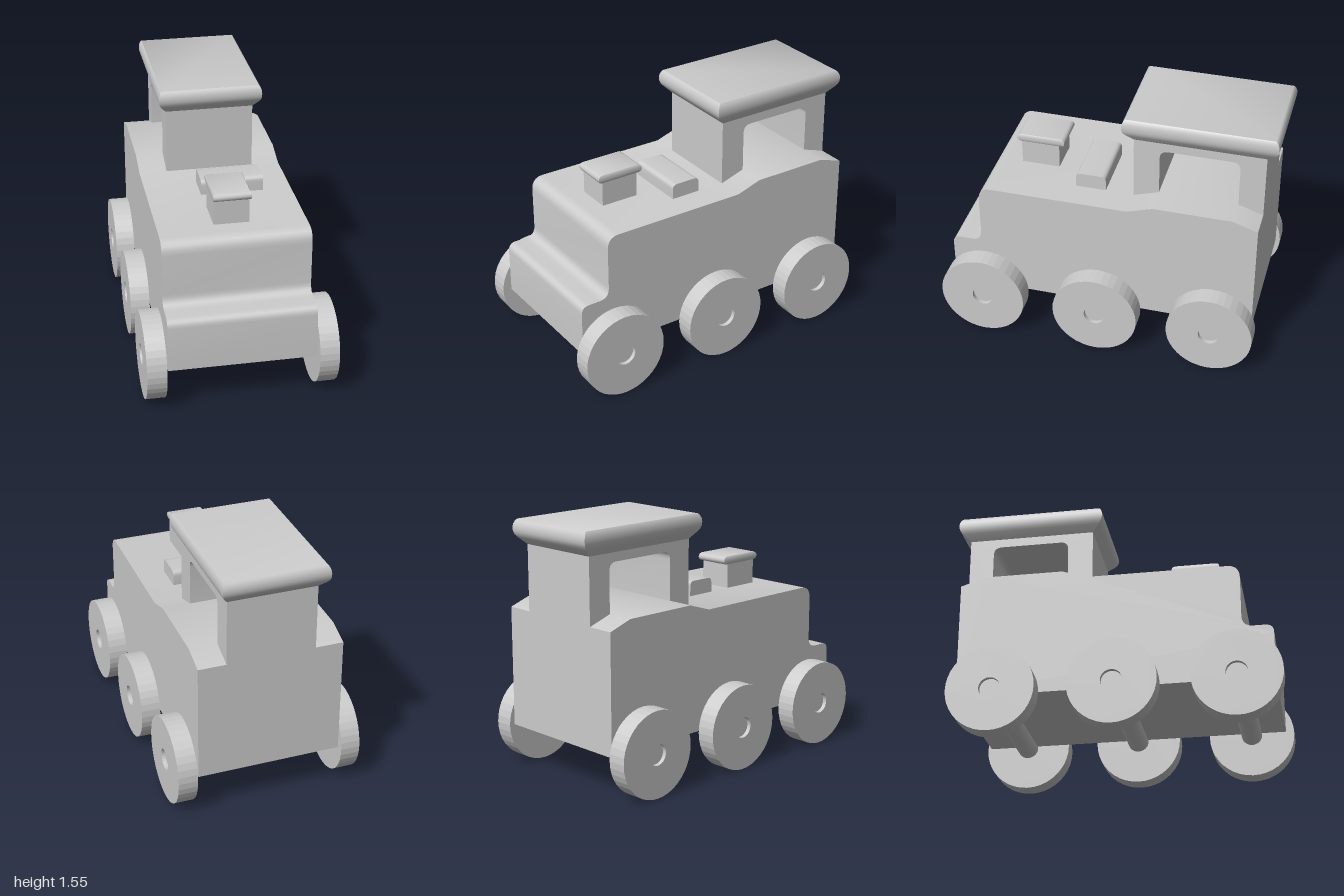
import * as THREE from 'three';
import { toCreasedNormals } from 'three/addons/utils/BufferGeometryUtils.js';

const material = new THREE.MeshStandardMaterial({ color: 0xcccccc });

function part(name, geometry, parent) {
  const mesh = new THREE.Mesh(geometry, material);
  mesh.name = name;
  parent.add(mesh);
  return mesh;
}

// Extrudes a side profile drawn in (z, y) across x from x0 to x1
function sideExtrude(shape, x0, x1, curveSegments = 5) {
  const geometry = new THREE.ExtrudeGeometry(shape, { depth: x1 - x0, bevelEnabled: false, curveSegments });
  geometry.rotateY(-Math.PI / 2).translate(x1, 0, 0);
  return toCreasedNormals(geometry, 0.4);
}

// Mitred rectangular block: each ring is [y, x0, x1, z0, z1], bottom to top
function rectLoft(rings) {
  const positions = [];
  const corners = rings.map(([y, x0, x1, z0, z1]) => [[x0, y, z1], [x1, y, z1], [x1, y, z0], [x0, y, z0]]);
  const quad = (a, b, c, d) => positions.push(...a, ...b, ...c, ...a, ...c, ...d);
  for (let i = 0; i < corners.length - 1; i++) {
    for (let j = 0; j < 4; j++) {
      const k = (j + 1) % 4;
      quad(corners[i][j], corners[i][k], corners[i + 1][k], corners[i + 1][j]);
    }
  }
  const bottom = corners[0];
  quad(bottom[3], bottom[2], bottom[1], bottom[0]);
  quad(...corners[corners.length - 1]);
  const geometry = new THREE.BufferGeometry();
  geometry.setAttribute('position', new THREE.Float32BufferAttribute(positions, 3));
  return toCreasedNormals(geometry, 0.75);
}

export function createModel() {
  const model = new THREE.Group();
  model.name = 'toyTrain';

  // Body with stepped nose and raised shoulders beside the cab
  const body = new THREE.Shape();
  body.moveTo(-0.93, 0.27);
  body.lineTo(0.95, 0.27);
  body.lineTo(0.95, 0.55);
  body.quadraticCurveTo(0.95, 0.6, 0.9, 0.6);
  body.lineTo(0.83, 0.6);
  body.quadraticCurveTo(0.765, 0.6, 0.765, 0.665);
  body.lineTo(0.765, 0.92);
  body.quadraticCurveTo(0.765, 1.0, 0.69, 1.0);
  body.lineTo(-0.15, 1.0);
  body.lineTo(-0.305, 1.05);
  body.lineTo(-0.78, 1.05);
  body.lineTo(-0.93, 1.0);
  part('body', sideExtrude(body, -0.437, 0.437), model);

  // Cab: front and rear walls joined above an open window
  const cab = new THREE.Shape();
  cab.moveTo(-0.15, 1.0);
  cab.lineTo(-0.15, 1.4);
  cab.lineTo(-0.93, 1.4);
  cab.lineTo(-0.93, 1.0);
  cab.lineTo(-0.78, 1.05);
  cab.lineTo(-0.78, 1.295);
  cab.quadraticCurveTo(-0.78, 1.345, -0.73, 1.345);
  cab.lineTo(-0.355, 1.345);
  cab.quadraticCurveTo(-0.305, 1.345, -0.305, 1.295);
  cab.lineTo(-0.305, 1.05);
  part('cab', sideExtrude(cab, -0.268, 0.268), model);

  // Roof flaring outward with a rounded rim
  const roofProfile = [[1.4, 0], [1.442, 0.65], [1.46, 0.87], [1.48, 0.98], [1.5, 1], [1.52, 0.96], [1.54, 0.82], [1.55, 0.66]];
  part('roof', rectLoft(roofProfile.map(([y, f]) =>
    [y, -0.268 - 0.047 * f, 0.268 + 0.047 * f, -0.93 - 0.07 * f, -0.15 + 0.065 * f])), model);

  // Chimney and its rounded cap
  const stack = new THREE.BoxGeometry(0.211, 0.15, 0.235);
  part('chimney', stack, model).position.set(-0.0025, 1.075, 0.4725);
  const capProfile = [[1.15, 0], [1.156, 0.6], [1.166, 0.93], [1.175, 1], [1.184, 0.93], [1.194, 0.6], [1.2, 0]];
  part('chimneyCap', rectLoft(capProfile.map(([y, f]) =>
    [y, -0.108 - 0.006 * f, 0.104 + 0.006 * f, 0.342 - 0.022 * f, 0.595 + 0.022 * f])), model);

  // Low hump behind the chimney, rounded along its upper edges
  const hump = new THREE.Shape();
  hump.moveTo(0.02, 1.0);
  hump.lineTo(0.205, 1.0);
  hump.lineTo(0.205, 1.06);
  hump.quadraticCurveTo(0.205, 1.092, 0.173, 1.092);
  hump.lineTo(0.052, 1.092);
  hump.quadraticCurveTo(0.02, 1.092, 0.02, 1.06);
  part('hump', sideExtrude(hump, -0.113, 0.265), model);

  // Three axles, each with a pair of faceted wheels
  const disc = new THREE.Shape().absarc(0, 0, 0.2635, 0, Math.PI * 2);
  disc.holes.push(new THREE.Path().absarc(0, 0, 0.064, 0, Math.PI * 2, true));
  const axle = new THREE.CylinderGeometry(0.064, 0.064, 1.08, 20).rotateZ(Math.PI / 2);
  const wheels = [-1, 1].map((side) => new THREE.ExtrudeGeometry(disc, { depth: 0.117, bevelEnabled: false, curveSegments: 20 })
    .rotateY(-Math.PI / 2).translate(side > 0 ? 0.565 : -0.448, 0, 0));
  const axleNames = ['front', 'middle', 'rear'];
  [0.737, 0.02, -0.693].forEach((z, i) => {
    const set = new THREE.Group();
    set.name = axleNames[i] + 'WheelSet';
    set.position.set(0, 0.2635, z);
    part('axle', axle, set);
    part('rightWheel', wheels[0], set);
    part('leftWheel', wheels[1], set);
    model.add(set);
  });

  return model;
}
